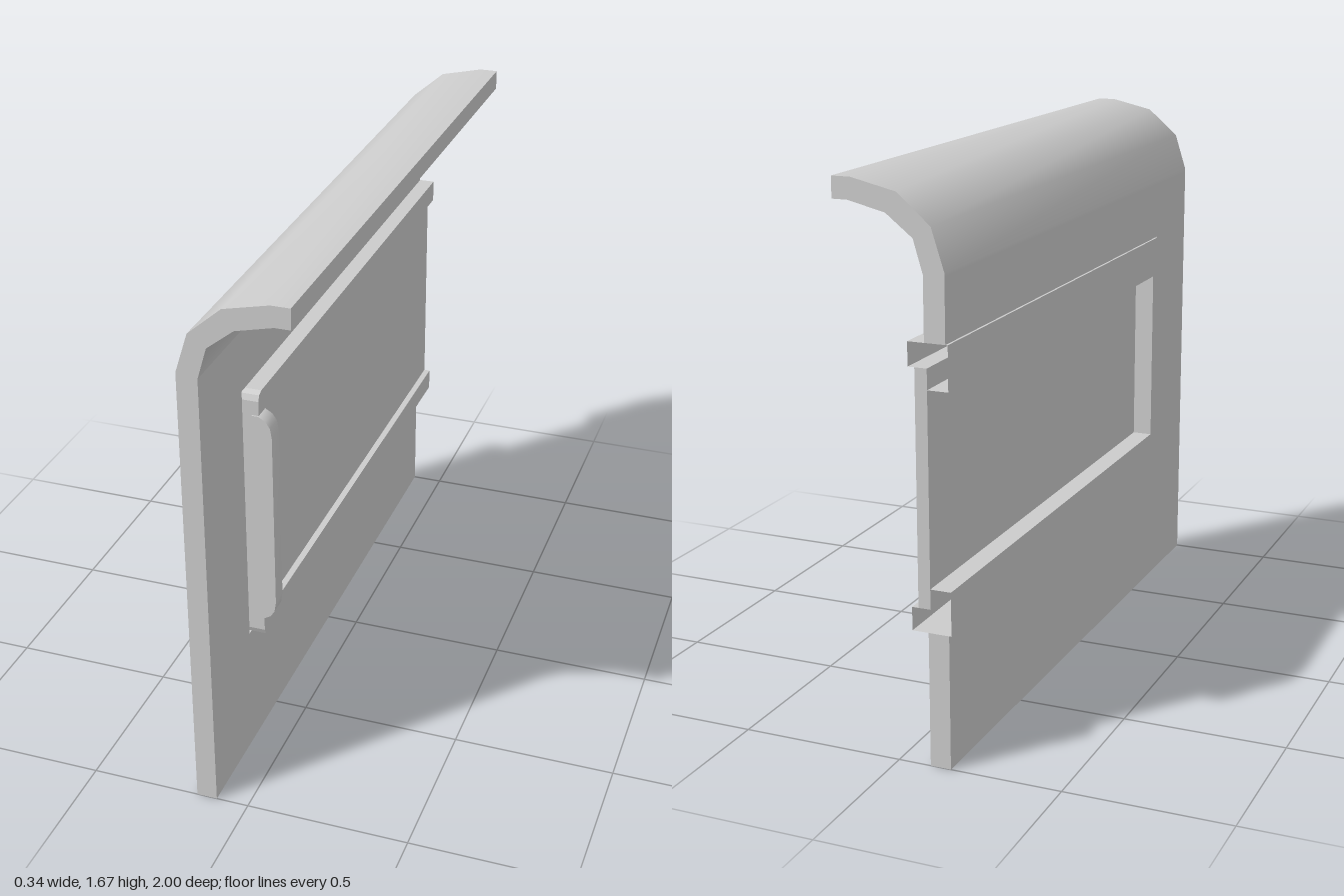
import * as THREE from 'three';
import { toCreasedNormals } from 'three/addons/utils/BufferGeometryUtils.js';

const grey = new THREE.MeshStandardMaterial({ color: 0xcccccc });
const greyThin = new THREE.MeshStandardMaterial({ color: 0xcccccc, side: THREE.DoubleSide });

// Window opening, outer edge of the frame
const TOP = 1.235, BOTTOM = 0.405, FRONT = 0.705, BACK = -1;

function extrude(points, depth) {
  const shape = new THREE.Shape(points.map(([x, y]) => new THREE.Vector2(x, y)));
  return new THREE.ExtrudeGeometry(shape, { depth, bevelEnabled: false });
}

function part(group, name, geometry, material = grey) {
  const mesh = new THREE.Mesh(geometry, material);
  mesh.name = name;
  group.add(mesh);
}

// L-shaped section swept round three sides of the opening, open at the back ends
function frameGeometry() {
  // x, inward offset in y, inward offset in z, corner rounding
  const section = [
    [-0.17, 0, 0, 0.025], [-0.05, 0, 0, 0.025], [-0.05, 0.07, 0.05, 0],
    [-0.107, 0.07, 0.05, 0], [-0.107, 0.13, 0.055, 0], [-0.17, 0.13, 0.055, 0],
  ];
  const rings = section.map(([x, dy, dz, r]) => {
    const t = TOP - dy, b = BOTTOM + dy, f = FRONT - dz, k = r * 0.3;
    return [
      [x, t, BACK], [x, t, f - r], [x, t - k, f - k], [x, t - r, f],
      [x, b + r, f], [x, b + k, f - k], [x, b, f - r], [x, b, BACK],
    ];
  });
  const pos = [];
  rings.forEach((a, i) => {
    const b = rings[(i + 1) % rings.length];
    for (let j = 0; j < a.length - 1; j++) {
      pos.push(...a[j], ...a[j + 1], ...b[j + 1], ...a[j], ...b[j + 1], ...b[j]);
    }
  });
  const geometry = new THREE.BufferGeometry();
  geometry.setAttribute('position', new THREE.Float32BufferAttribute(pos, 3));
  geometry.computeVertexNormals();
  return geometry;
}

export function createModel() {
  const group = new THREE.Group();
  group.name = 'wallPanelWithWindow';

  // Flat wall, notched from the back edge for the window (points are z, y)
  const wall = extrude([
    [-1, 0], [1, 0], [1, 1.42], [-1, 1.42],
    [-1, TOP], [FRONT, TOP], [FRONT, BOTTOM], [-1, BOTTOM],
  ], 0.063);
  wall.rotateY(-Math.PI / 2);
  wall.translate(-0.1, 0, 0);
  part(group, 'wall', wall);

  // Curved top bending over into the roof edge
  const roof = extrude([
    [-0.1, 1.42], [-0.072, 1.515], [0.008, 1.578], [0.12, 1.605], [0.167, 1.605],
    [0.167, 1.667], [0.11, 1.667], [-0.025, 1.636], [-0.125, 1.55], [-0.163, 1.43], [-0.163, 1.42],
  ], 2);
  roof.translate(0, 0, -1);
  part(group, 'curvedRoofEdge', toCreasedNormals(roof, 0.7));

  // Window frame
  part(group, 'windowFrame', frameGeometry(), greyThin);

  // Window pane seated in the frame
  const pane = new THREE.BoxGeometry(0.037, 0.69, 1.655);
  pane.translate(-0.0885, 0.82, -0.1725);
  part(group, 'windowPane', pane);

  // Upright bar with rounded outer corners at the front end of the pane
  const upper = [[-0.01, 0.28], [-0.015, 0.312], [-0.028, 0.332], [-0.05, 0.345], [-0.07, 0.345]];
  const lower = upper.map(([x, y]) => [x, -y]).reverse();
  const bar = extrude([...lower, ...upper], 0.055);
  bar.translate(0, 0.82, 0.655);
  part(group, 'uprightBar', toCreasedNormals(bar, 0.7));

  return group;
}
